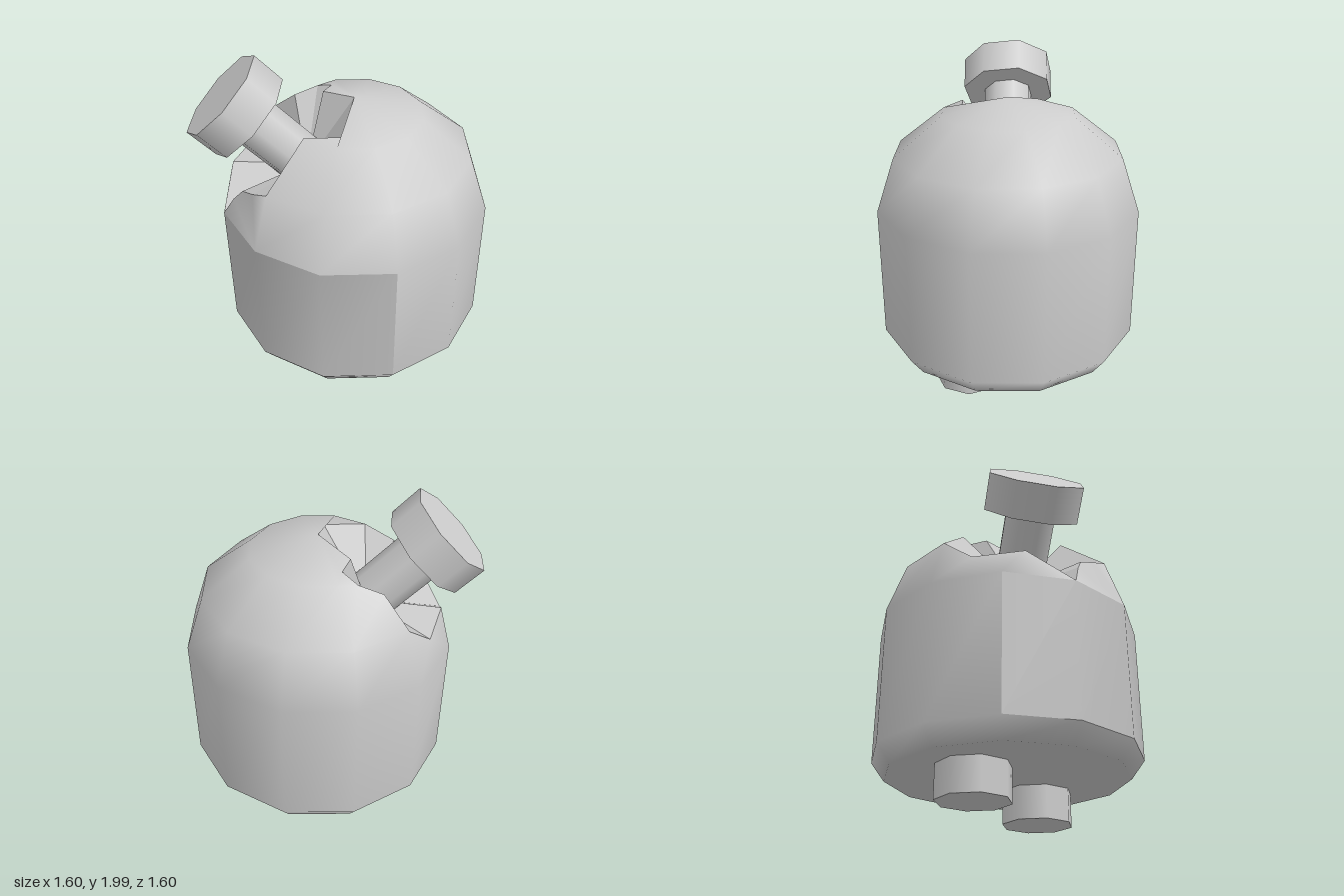
import * as THREE from 'three';
import { mergeVertices } from 'three/addons/utils/BufferGeometryUtils.js';

const bodyMat = new THREE.MeshStandardMaterial({ color: 0xcccccc });
bodyMat.name = 'light grey';
const panelMat = new THREE.MeshStandardMaterial({ color: 0xc2c2c2 });
panelMat.name = 'panel grey';

// Builds a geometry from triangles of points, turned to face away from (or towards) a centre
function fromTriangles(tris, centre, inward = false) {
  const pos = [];
  for (const t of tris) {
    const [a, b, c] = t.map((p) => new THREE.Vector3(...p));
    const n = b.clone().sub(a).cross(c.clone().sub(a));
    if (n.length() < 1e-7) continue;
    const out = n.dot(a.clone().add(b).add(c).divideScalar(3).sub(centre)) > 0;
    for (const p of out !== inward ? [a, b, c] : [a, c, b]) pos.push(p.x, p.y, p.z);
  }
  const g = new THREE.BufferGeometry();
  g.setAttribute('position', new THREE.Float32BufferAttribute(pos, 3));
  return g;
}

function smooth(g) {
  const m = mergeVertices(g, 1e-4);
  m.computeVertexNormals();
  return m;
}

function addMesh(parent, name, geometry, material) {
  const m = new THREE.Mesh(geometry, material);
  m.name = name;
  parent.add(m);
  return m;
}

export function createModel() {
  const model = new THREE.Group();
  model.name = 'brokenDomeTank';

  // Twelve-sided profile: radius, height
  const rings = [[0, 0.2], [0.72, 0.2], [0.8, 0.31], [0.8, 1.12], [0.69, 1.44], [0.4, 1.67], [0, 1.76]];
  const P = (ring, col) => {
    const [r, y] = rings[ring];
    const a = ((col % 12) * Math.PI) / 6;
    return [r * Math.sin(a), y, r * Math.cos(a)];
  };
  const quad = (r, c) => [
    [P(r, c), P(r, c + 1), P(r + 1, c + 1)],
    [P(r, c), P(r + 1, c + 1), P(r + 1, c)],
  ];
  const shell = [];
  const panel = [];
  for (let c = 0; c < 12; c++) {
    for (let r = 0; r < 6; r++) {
      const broken = (c >= 9 && r >= 3) || (c === 8 && r >= 4) || (c === 0 && r === 5);
      if (broken) continue;
      const isPanel = r === 2 && (c >= 10 || c <= 1);
      (isPanel ? panel : shell).push(...quad(r, c));
    }
  }

  // Jagged rim of the hole in the dome
  const apex = P(6, 0);
  const s1 = [0.17, 1.67, 0.22];
  const top0 = P(5, 0);
  const mid0 = P(4, 0);
  const f1 = [-0.13, 1.38, 0.68];
  const f2 = [-0.25, 1.33, 0.655];
  const f3 = [-0.32, 1.25, 0.67];
  const b0 = P(3, 0), b1 = P(3, 11), b2 = P(3, 10), b3 = P(3, 9);
  const f5 = [-0.56, 1.3, 0.47];
  const f6 = [-0.69, 1.28, 0.2];
  const r0 = P(4, 9);
  const r1 = [-0.5, 1.59, 0];
  const r2 = [-0.4, 1.65, -0.1];
  const r3 = [-0.29, 1.69, -0.11];
  const r4 = [-0.25, 1.705, 0];
  const back = P(4, 8), backTop = P(5, 8), side = P(5, 1);

  // Shell remnants between the intact cells and the rim
  shell.push(
    [b0, mid0, f1], [b0, f1, f2], [b0, f2, f3], [b0, f3, b1],
    [b1, f5, b2], [b2, f5, f6], [b2, f6, b3], [b3, f6, r0],
    [back, r1, r0], [back, r2, r1], [back, backTop, r2],
    [backTop, r3, r2], [backTop, apex, r3], [apex, r4, r3],
    [apex, side, s1], [top0, side, s1],
  );
  const centre = new THREE.Vector3(0, 0.9, 0);
  addMesh(model, 'bodyShell', smooth(fromTriangles(shell, centre)), bodyMat);
  addMesh(model, 'frontPanel', smooth(fromTriangles(panel, centre)), panelMat);

  // Faceted crater walls meeting at the foot of the plunger
  const rim = [apex, s1, top0, mid0, f1, f2, f3, b1, f5, f6, r0, r1, r2, r3, r4];
  const floor = [-0.2, 1.32, 0.2];
  const walls = rim.map((p, i) => [p, rim[(i + 1) % rim.length], floor]);
  const eye = new THREE.Vector3(-0.53, 1.79, 0.53);
  const crater = fromTriangles(walls, eye);
  // Turn the walls to face the opening
  const craterGeo = fromTriangles(walls, eye, true);
  crater.dispose();
  craterGeo.computeVertexNormals();
  const craterMesh = addMesh(model, 'craterWalls', craterGeo, bodyMat);
  craterMesh.material = bodyMat;

  // Tilted plunger: wide octagonal head on a narrow shaft
  const axis = new THREE.Vector3(-0.5, Math.SQRT1_2, 0.5);
  const u = new THREE.Vector3(Math.SQRT1_2, 0, Math.SQRT1_2);
  const v = new THREE.Vector3(0.5, Math.SQRT1_2, -0.5);
  const twist = THREE.MathUtils.degToRad(13);
  const w = v.multiplyScalar(Math.cos(twist)).addScaledVector(u, -Math.sin(twist));
  const plunger = new THREE.Group();
  plunger.name = 'plunger';
  plunger.quaternion.setFromRotationMatrix(
    new THREE.Matrix4().makeBasis(axis.clone().cross(w), axis, w));
  plunger.position.copy(eye);
  model.add(plunger);
  addMesh(plunger, 'plungerHead', new THREE.CylinderGeometry(0.293, 0.293, 0.21, 8), bodyMat).position.y = -0.105;
  addMesh(plunger, 'plungerShaft', new THREE.CylinderGeometry(0.155, 0.155, 0.52, 8), bodyMat).position.y = -0.46;

  // Feet
  for (const s of [-1, 1]) {
    const foot = addMesh(model, s > 0 ? 'leftFoot' : 'rightFoot',
      new THREE.CylinderGeometry(0.216, 0.216, 0.21, 8), bodyMat);
    foot.position.set(s * 0.342, 0.105, 0);
  }
  return model;
}
